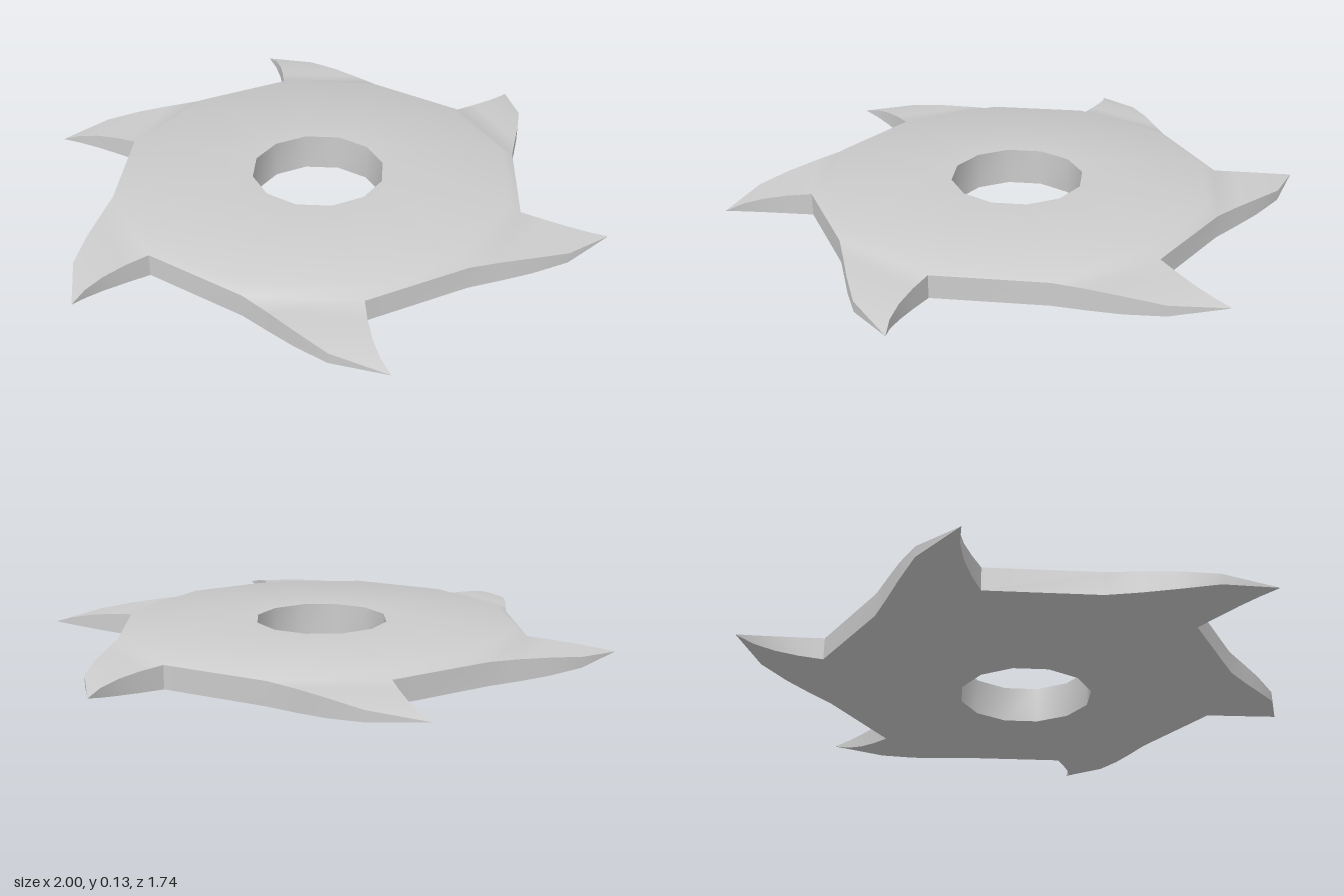
import * as THREE from 'three';
import { toCreasedNormals } from 'three/addons/utils/BufferGeometryUtils.js';

const MID = 0.067; // height of the cutting plane
const RIM = 0.71;
const STEP = Math.PI / 6;

// Disc cross-section as [radius, y]: bore, top face, bevel, rim, underside
const profile = [[0.23, 0], [0.23, 0.13], [0.67, 0.13], [RIM, 0.106], [RIM, 0.028], [0.23, 0]];
const RIM_BAND = 3;

// Tooth edges from root to tip as [x, z, half thickness]
const tip = [1, -0.01, 0];
const leading = [[RIM, 0, 0.039], [0.79, 0.01, 0.034], [0.87, 0.014, 0.026], [0.94, 0.008, 0.015], tip];
const trailing = [[RIM * Math.cos(STEP), RIM * Math.sin(STEP), 0.039], [0.705, 0.291, 0.036],
  [0.795, 0.228, 0.03], [0.895, 0.15, 0.018], tip];

function createBlade() {
  const positions = [];
  const UP = new THREE.Vector3(0, 1, 0);

  const tri = (a, b, c) => {
    if (new THREE.Triangle(a, b, c).getArea() < 1e-7) return;
    for (const p of [a, b, c]) positions.push(p.x, p.y, p.z);
  };
  const quad = (a, b, c, d) => { tri(a, b, c); tri(a, c, d); };
  const polar = ([r, y], angle) => new THREE.Vector3(r * Math.cos(angle), y, r * Math.sin(angle));

  // Twelve-sided disc; every second side carries a tooth instead of a rim wall
  for (let s = 0; s < 12; s++) {
    const a0 = s * STEP, a1 = a0 + STEP;
    for (let i = 0; i < profile.length - 1; i++) {
      if (i === RIM_BAND && s % 2 === 0) continue;
      const p = profile[i], q = profile[i + 1];
      quad(polar(p, a0), polar(p, a1), polar(q, a1), polar(q, a0));
    }
  }

  // Six hooked teeth, thinning to a point
  for (let t = 0; t < 6; t++) {
    const place = ([x, z, h], side) =>
      new THREE.Vector3(x, MID + side * h, z).applyAxisAngle(UP, -t * 2 * STEP);
    for (let i = 0; i < 4; i++) {
      const [l0, l1, r0, r1] = [leading[i], leading[i + 1], trailing[i], trailing[i + 1]];
      // top and underside
      quad(place(l0, 1), place(r0, 1), place(r1, 1), place(l1, 1));
      quad(place(l0, -1), place(l1, -1), place(r1, -1), place(r0, -1));
      // leading and trailing walls
      quad(place(l0, -1), place(l0, 1), place(l1, 1), place(l1, -1));
      quad(place(r0, -1), place(r1, -1), place(r1, 1), place(r0, 1));
    }
  }

  const geometry = new THREE.BufferGeometry();
  geometry.setAttribute('position', new THREE.Float32BufferAttribute(positions, 3));
  return toCreasedNormals(geometry, 0.7);
}

export function createModel() {
  const group = new THREE.Group();
  group.name = 'toothedThrowingDisc';
  const blade = new THREE.Mesh(createBlade(), new THREE.MeshStandardMaterial({ color: 0xcccccc }));
  blade.name = 'toothedBlade';
  group.add(blade);
  return group;
}
